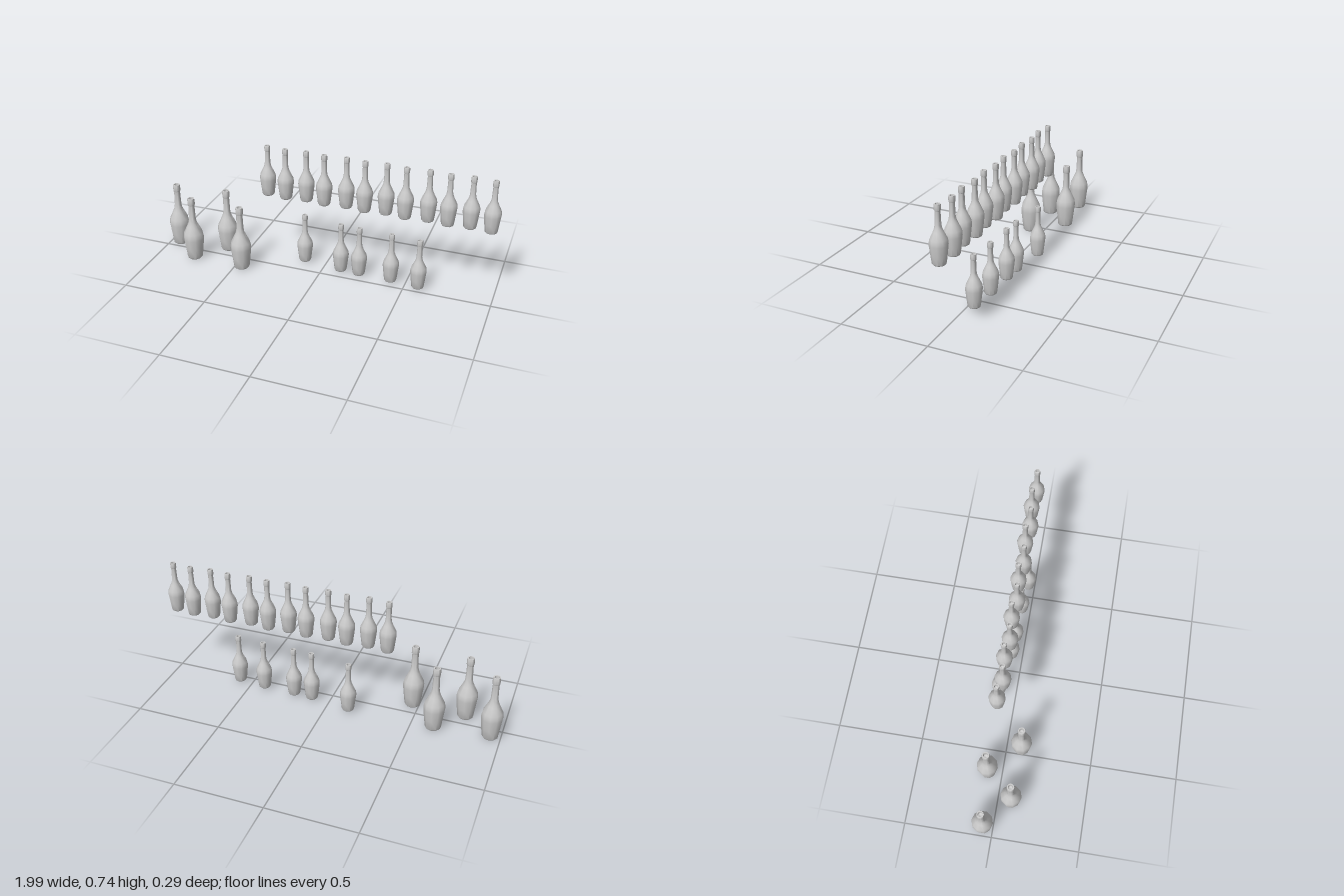
import * as THREE from 'three';
import { toCreasedNormals } from 'three/addons/utils/BufferGeometryUtils.js';

// Bottle outline as [radius, height], from the base up and into the mouth
const PROFILE = [
  [0, 0], [0.031, 0], [0.0355, 0.006], [0.041, 0.052], [0.0465, 0.1],
  [0.0462, 0.113], [0.043, 0.13], [0.0265, 0.165], [0.019, 0.183], [0.0158, 0.202],
  [0.0142, 0.262], [0.0142, 0.269], [0.0168, 0.273], [0.0168, 0.295], [0.0155, 0.303],
  [0.0105, 0.303], [0.0095, 0.28], [0, 0.275],
];

function bottleGeometry() {
  const points = PROFILE.map(([r, y]) => new THREE.Vector2(r, y));
  return toCreasedNormals(new THREE.LatheGeometry(points, 10), 0.75);
}

export function createModel() {
  const model = new THREE.Group();
  model.name = 'bottles';
  const geometry = bottleGeometry();
  const material = new THREE.MeshStandardMaterial({ color: 0xcccccc });

  // Adds a named row of equal bottles at the given [x, z] spots
  function addRow(name, spots, y, scale) {
    const row = new THREE.Group();
    row.name = name;
    spots.forEach(([x, z], i) => {
      const bottle = new THREE.Mesh(geometry, material);
      bottle.name = `${name}Bottle${i + 1}`;
      bottle.position.set(x, y, z);
      bottle.scale.setScalar(scale);
      row.add(bottle);
    });
    model.add(row);
  }

  // Large bottles on the ground
  addRow('large', [[-0.94, -0.057], [-0.773, 0.077], [-0.625, -0.084], [-0.46, 0.086]], 0, 1.3);

  // Small bottles in the lower row
  addRow('lower', [[-0.128, -0.1], [0.107, -0.066], [0.22, -0.06], [0.412, -0.055], [0.577, -0.039]], 0.01, 1);

  // Small bottles in the upper row, alternating slightly in depth
  const upperX = [-0.339, -0.225, -0.104, 0.007, 0.134, 0.244, 0.364, 0.476, 0.602, 0.715, 0.835, 0.951];
  addRow('upper', upperX.map((x, i) => [x, i % 2 ? -0.055 : -0.067]), 0.432, 1);

  return model;
}
